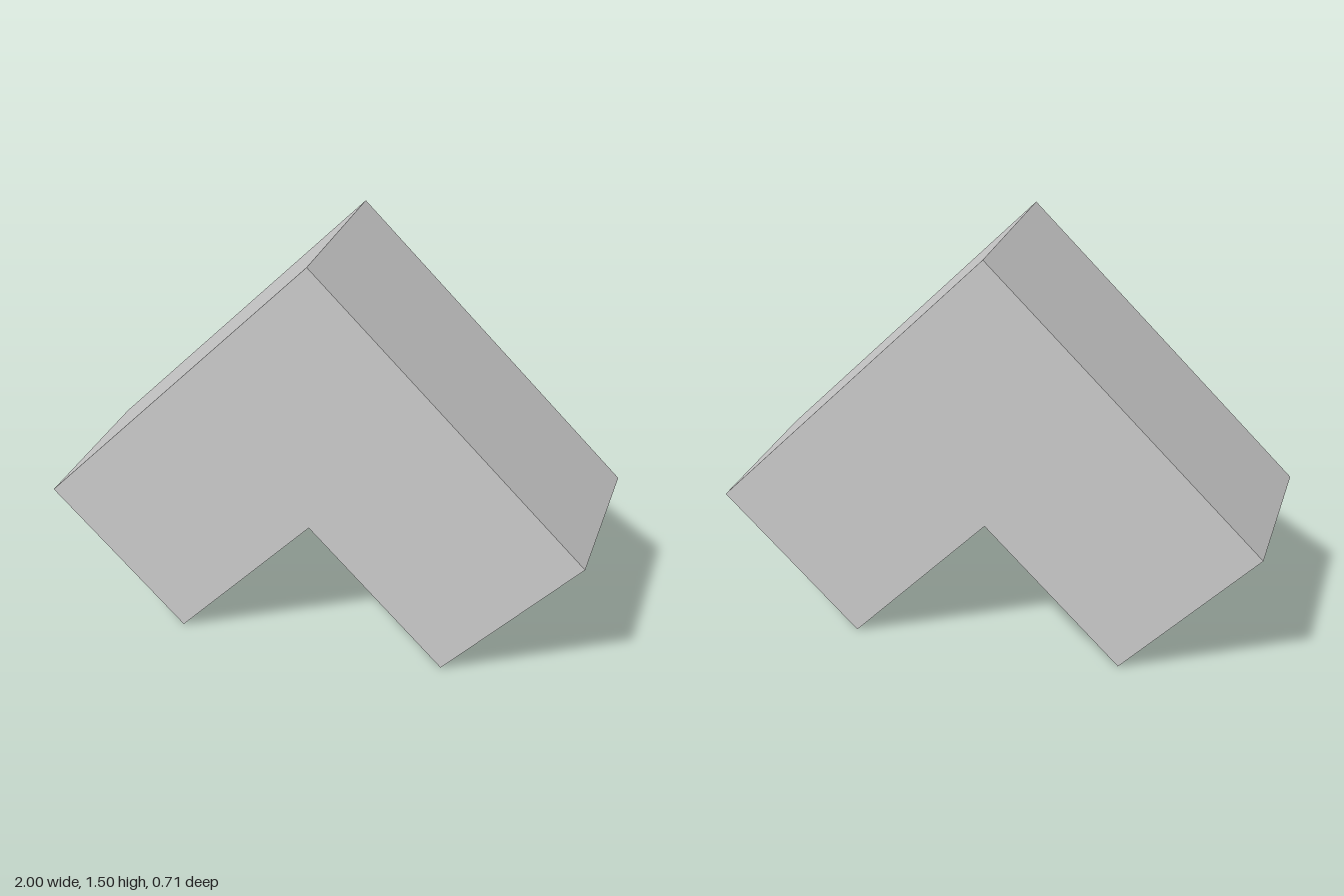
import * as THREE from 'three';

// Mitred square duct: two arms meeting at a right angle, hollow from end to end.
const WALL = 0.1; // wall thickness measured along x and y
const HALF_DEPTH = 0.3535, HALF_BORE = 0.212;

// Rectangular section from its upper and lower [x, y] points
function ring(top, bottom, h) {
  return [[...top, h], [...top, -h], [...bottom, -h], [...bottom, h]];
}

// Sections at the left end, the mitre and the right end
function sections(t, h) {
  return [
    ring([-1 + t, 0.5 - t], [-0.5 - t, t], h),
    ring([0, 1.5 - 2 * t], [0, 0.5 + 2 * t], h),
    ring([1 - t, 0.5 - t], [0.5 + t, t], h),
  ];
}

// Four flat quads joining two sections
function band(a, b, flip = false) {
  const pos = [];
  for (let i = 0; i < 4; i++) {
    const j = (i + 1) % 4;
    const q = flip ? [a[i], a[j], b[j], b[i]] : [a[i], b[i], b[j], a[j]];
    for (const k of [0, 1, 2, 0, 2, 3]) pos.push(...q[k]);
  }
  return pos;
}

export function createModel() {
  const group = new THREE.Group();
  group.name = 'elbowDuct';
  const grey = new THREE.MeshStandardMaterial({ color: 0xcccccc });
  grey.name = 'light grey';

  const add = (name, pos) => {
    const geo = new THREE.BufferGeometry();
    geo.setAttribute('position', new THREE.Float32BufferAttribute(pos, 3));
    geo.computeVertexNormals();
    const mesh = new THREE.Mesh(geo, grey);
    mesh.name = name;
    group.add(mesh);
  };

  const outer = sections(0, HALF_DEPTH);
  const inner = sections(WALL, HALF_BORE);

  // Outside faces and the bore
  add('outerShell', [...band(outer[0], outer[1]), ...band(outer[1], outer[2])]);
  add('bore', [...band(inner[0], inner[1], true), ...band(inner[1], inner[2], true)]);

  // Rims around the two openings
  add('leftArmRim', band(outer[0], inner[0], true));
  add('rightArmRim', band(outer[2], inner[2]));

  return group;
}
